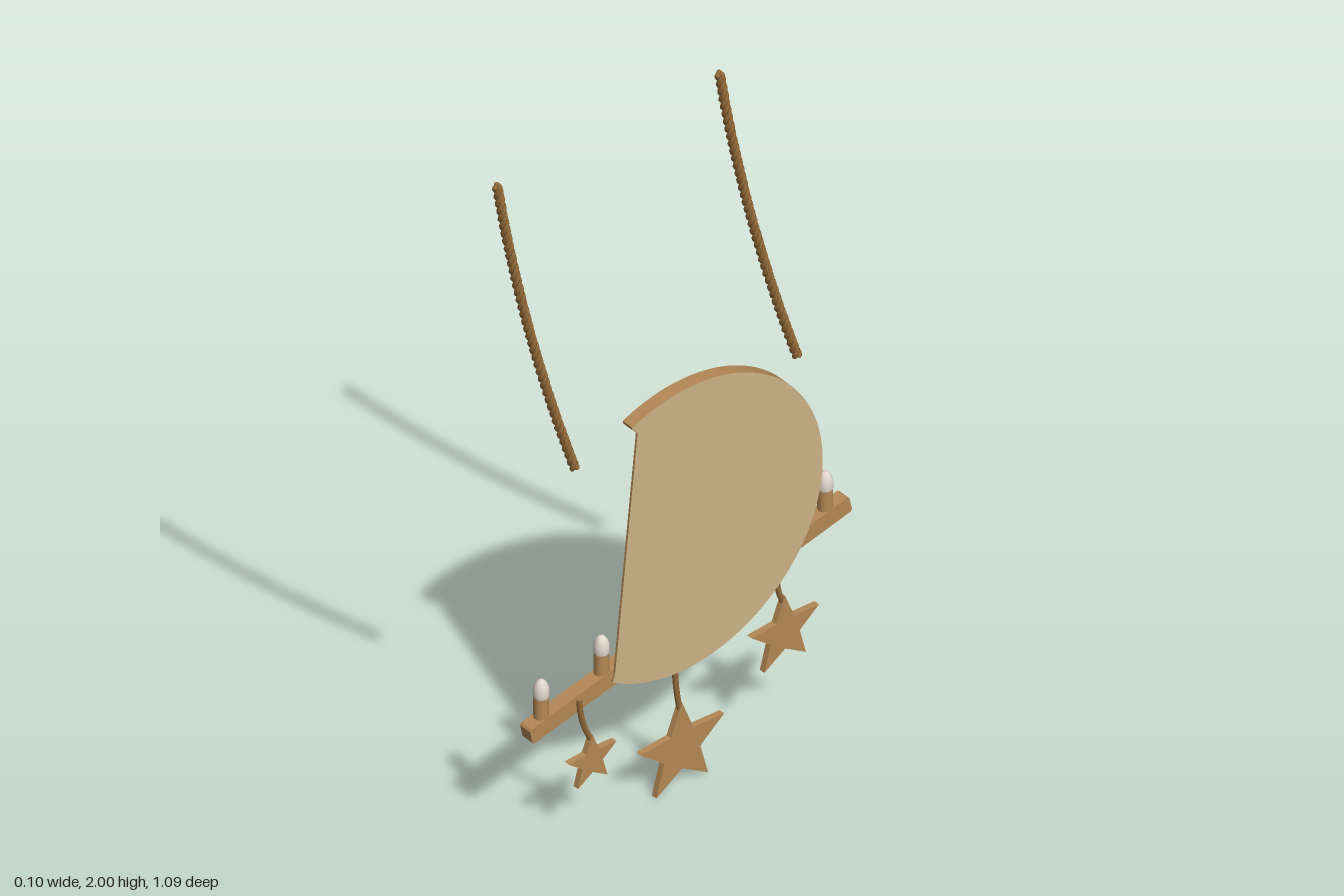
import * as THREE from 'three';

const mat = (name, color) => {
  const m = new THREE.MeshStandardMaterial({ color });
  m.name = name;
  return m;
};

// Strand wound around a centre curve
class Strand extends THREE.Curve {
  constructor(path, radius, turns, phase) {
    super();
    Object.assign(this, { path, radius, turns, phase });
  }
  getPoint(t, target = new THREE.Vector3()) {
    const tangent = this.path.getTangent(t);
    const side = new THREE.Vector3(1, 0, 0).cross(tangent).normalize();
    const other = new THREE.Vector3().crossVectors(tangent, side);
    const a = this.phase + t * this.turns * Math.PI * 2;
    return target.copy(this.path.getPoint(t))
      .addScaledVector(side, Math.cos(a) * this.radius)
      .addScaledVector(other, Math.sin(a) * this.radius);
  }
}

export function createModel() {
  const model = new THREE.Group();
  const pale = mat('paleWood', 0xcdb186);
  const wood = mat('wood', 0xb48855);
  const ropeMat = mat('rope', 0x946a38);
  const white = mat('candleTip', 0xe0d6cc);

  const add = (name, geometry, material, parent = model) => {
    const mesh = new THREE.Mesh(geometry, material);
    mesh.name = name;
    parent.add(mesh);
    return mesh;
  };
  // Outlines are drawn in (z, y) and given thickness from x0 to x1
  const p2 = (z, y) => new THREE.Vector2(-z, y);
  const slab = (shape, x0, x1) => new THREE.ExtrudeGeometry(shape,
    { depth: x1 - x0, bevelEnabled: false, curveSegments: 32 })
    .rotateY(Math.PI / 2).translate(x0, 0, 0);

  // Outer rim of the moon, from upper tip round to lower tip
  const rim = [];
  for (let i = 0; i <= 64; i++) {
    const a = THREE.MathUtils.degToRad(114 - 237.5 * i / 64);
    rim.push(p2(-0.05 - 0.393 * Math.cos(a), 0.735 + 0.393 * Math.sin(a)));
  }

  // Crescent with a face in profile along its inner edge
  const profile = new THREE.SplineCurve([
    [0.165, 0.41], [0.136, 0.425], [-0.017, 0.5], [-0.15, 0.582], [-0.215, 0.65],
    [-0.243, 0.71], [-0.24, 0.77], [-0.2, 0.797], [-0.171, 0.825], [-0.2, 0.88],
    [-0.171, 0.93], [-0.058, 1.01], [0.085, 1.07], [0.11, 1.09],
  ].map(([z, y]) => p2(z, y))).getPoints(70).slice(1, -1);
  add('moonCrescent', slab(new THREE.Shape([...rim, ...profile]), -0.032, -0.001), [pale, wood]);

  // Flat backing that closes the crescent's hollow
  const backing = [...rim, p2(0.16, 0.43), p2(0.095, 1.07)];
  add('moonBacking', slab(new THREE.Shape(backing), -0.004, 0.002), [pale, wood]);

  // Raised craters, eye and cheek on the carved side
  for (const [name, z, y, rz, ry] of [
    ['crater', -0.305, 0.922, 0.048, 0.04], ['smallCrater', -0.233, 1.04, 0.03, 0.025],
    ['eye', -0.345, 0.755, 0.045, 0.03], ['cheek', -0.26, 0.64, 0.025, 0.025],
  ]) {
    const oval = new THREE.Shape().absellipse(-z, y, rz, ry, 0, Math.PI * 2);
    add(name, slab(oval, -0.037, -0.031), wood);
  }

  // Sloping candle bar
  const slope = Math.atan2(0.205, 0.93);
  const bar = add('candleBar', slab(new THREE.Shape([
    [-0.475, -0.017], [-0.47, -0.022], [0.47, -0.022], [0.475, -0.017],
    [0.475, 0.017], [0.47, 0.022], [-0.47, 0.022], [-0.475, 0.017],
  ].map(([z, y]) => p2(z, y))), -0.0175, 0.0175), wood);
  bar.position.set(-0.033, 0.453, -0.075);
  bar.rotation.x = slope;

  // Upright candles with pale tips
  for (const z of [0.345, 0.17, -0.285, -0.48]) {
    const candle = new THREE.Group();
    candle.name = 'candle';
    candle.position.set(-0.034, 0.453 - (z + 0.075) * Math.tan(slope), z);
    add('candleStem', new THREE.CylinderGeometry(0.018, 0.018, 0.08, 16), wood, candle).position.y = 0.04;
    const tip = add('candleTip', new THREE.SphereGeometry(0.019, 16, 12), white, candle);
    tip.scale.y = 1.9;
    tip.position.y = 0.086;
    model.add(candle);
  }

  // Hanging stars: centre, radius, depth position and top of string
  for (const [z, y, r, x, zTop, yTop] of [
    [-0.05, 0.106, 0.128, -0.024, -0.035, 0.35],
    [-0.339, 0.297, 0.103, -0.012, -0.322, 0.45],
    [0.23, 0.222, 0.0725, 0, 0.262, 0.405],
  ]) {
    const points = [];
    for (let i = 0; i < 10; i++) {
      const a = Math.PI / 2 + i * Math.PI / 5;
      const k = i % 2 ? r * 0.43 : r;
      points.push(p2(z + Math.cos(a) * k, y + Math.sin(a) * k));
    }
    add('star', slab(new THREE.Shape(points), x - 0.008, x + 0.008), wood);
    const yEnd = y + r * 0.8;
    const string = new THREE.QuadraticBezierCurve3(
      new THREE.Vector3(x, yTop, zTop),
      new THREE.Vector3(x, (yTop + yEnd) / 2, zTop),
      new THREE.Vector3(x, yEnd, z));
    add('starString', new THREE.TubeGeometry(string, 10, 0.007, 8), ropeMat);
  }

  // Pair of twisted three-strand hanging ropes
  for (const z of [0.278, -0.368]) {
    const path = new THREE.QuadraticBezierCurve3(
      new THREE.Vector3(0.001, 1.066, z),
      new THREE.Vector3(0.018, 1.53, z + 0.165),
      new THREE.Vector3(0.037, 1.998, z + 0.254));
    const rope = new THREE.Group();
    rope.name = 'hangingRope';
    for (let i = 0; i < 3; i++) {
      const strand = new Strand(path, 0.006, 13, i * Math.PI * 2 / 3);
      add('ropeStrand', new THREE.TubeGeometry(strand, 200, 0.0065, 7), ropeMat, rope);
      // End caps of the strand
      for (const t of [0, 1]) {
        add('ropeEnd', new THREE.SphereGeometry(0.0065, 8, 6), ropeMat, rope)
          .position.copy(strand.getPoint(t));
      }
    }
    model.add(rope);
  }
  return model;
}
